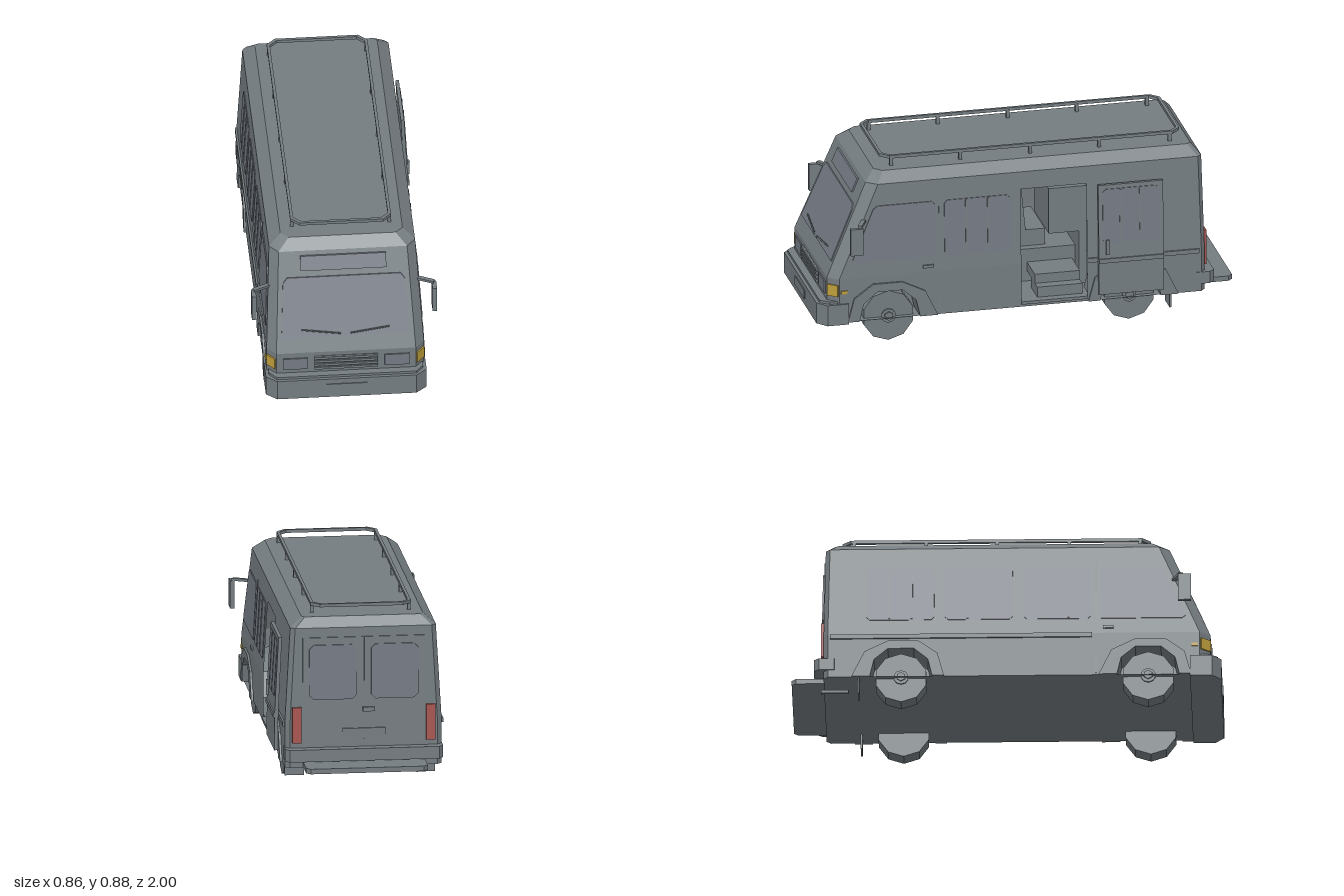
import * as THREE from 'three';

const paint = (name, color) => {
  const m = new THREE.MeshStandardMaterial({ color, side: THREE.DoubleSide });
  m.name = name;
  return m;
};

export function createModel() {
  const van = new THREE.Group();
  van.name = 'van';
  const body = paint('bodyGrey', 0x757d81);
  const glass = paint('windowGrey', 0x757a84);
  const amber = paint('amber', 0xc0a03c);
  const red = paint('red', 0xa85650);

  const add = (name, geo, mat = body) => {
    const mesh = new THREE.Mesh(geo, mat);
    mesh.name = name;
    van.add(mesh);
    return mesh;
  };
  // Box given by its limits
  const box = (name, x0, x1, y0, y1, z0, z1, mat) => {
    const m = add(name, new THREE.BoxGeometry(Math.abs(x1 - x0), y1 - y0, z1 - z0), mat);
    m.position.set((x0 + x1) / 2, (y0 + y1) / 2, (z0 + z1) / 2);
    return m;
  };
  const flat = (geo) => {
    const g = geo.index ? geo.toNonIndexed() : geo;
    g.computeVertexNormals();
    return g;
  };

  // Distance of each body face from the centre; faces lean in above the waist
  const lean = (y) => Math.max(0, y - 0.33) / 0.45;
  const sideX = (y) => 0.367 - 0.026 * lean(y);
  const frontZ = (y) => 0.95 - 0.19 * lean(y);
  const backZ = (y) => 0.85 - 0.01 * lean(y);
  const FACES = {
    front: { turn: 0, sign: 1, off: frontZ, axis: [0, 1] },
    back: { turn: Math.PI, sign: -1, off: backZ, axis: [0, -1] },
    left: { turn: Math.PI / 2, sign: -1, off: sideX, axis: [1, 0] },
    right: { turn: -Math.PI / 2, sign: 1, off: sideX, axis: [-1, 0] },
  };
  // Flat piece lying on a body face; points are (x or z, y)
  const plate = (name, face, pts, t, mat, start = 0) => {
    const f = FACES[face];
    const shape = new THREE.Shape(pts.map(([a, y]) => new THREE.Vector2(a * f.sign, y)));
    const geo = t ? new THREE.ExtrudeGeometry(shape, { depth: t, bevelEnabled: false })
      : new THREE.ShapeGeometry(shape);
    geo.translate(0, 0, start).rotateY(f.turn);
    const p = geo.attributes.position;
    for (let i = 0; i < p.count; i++) {
      const d = f.off(p.getY(i));
      p.setXYZ(i, p.getX(i) + f.axis[0] * d, p.getY(i), p.getZ(i) + f.axis[1] * d);
    }
    return add(name, flat(geo), mat);
  };
  const rect = (a0, a1, y0, y1, c = 0) => c
    ? [[a0 + c, y0], [a1 - c, y0], [a1, y0 + c], [a1, y1 - c], [a1 - c, y1], [a0 + c, y1], [a0, y1 - c], [a0, y0 + c]]
    : [[a0, y0], [a1, y0], [a1, y1], [a0, y1]];
  // Horizontal slab from a plan outline in (x, z)
  const slab = (name, pts, y0, y1, hole) => {
    const v = (l) => l.map(([x, z]) => new THREE.Vector2(x, -z));
    const s = new THREE.Shape(v(pts));
    if (hole) s.holes.push(new THREE.Path(v(hole)));
    const g = new THREE.ExtrudeGeometry(s, { depth: y1 - y0, bevelEnabled: false });
    return add(name, g.rotateX(-Math.PI / 2).translate(0, y0, 0));
  };

  // Body shell: four rings, side walls left open in the lower two bands
  const ring = (y, xs, xf, zf, cz, xb, zb) => [
    [xs, y, zf - cz], [xf, y, zf], [-xf, y, zf], [-xs, y, zf - cz],
    [-xs, y, zb + 0.02], [-xb, y, zb], [xb, y, zb], [xs, y, zb + 0.02]];
  const rings = [
    ring(0.115, 0.367, 0.325, 0.95, 0.05, 0.345, -0.85),
    ring(0.33, 0.367, 0.325, 0.95, 0.05, 0.345, -0.85),
    ring(0.78, 0.341, 0.30, 0.76, 0.05, 0.32, -0.84),
    ring(0.825, 0.285, 0.25, 0.71, 0.035, 0.27, -0.80)];
  const pos = [];
  const tri = (...c) => c.forEach((q) => pos.push(...q));
  for (let k = 0; k < 3; k++) for (let i = 0; i < 8; i++) {
    if (k < 2 && (i === 3 || i === 7)) continue;
    const j = (i + 1) % 8, a = rings[k], b = rings[k + 1];
    tri(a[i], b[i], b[j]);
    tri(a[i], b[j], a[j]);
  }
  for (let i = 1; i < 7; i++) {
    tri(rings[3][0], rings[3][i + 1], rings[3][i]);
    tri(rings[0][0], rings[0][i], rings[0][i + 1]);
  }
  const shell = new THREE.BufferGeometry();
  shell.setAttribute('position', new THREE.Float32BufferAttribute(pos, 3));
  add('bodyShell', flat(shell));

  // Side walls with wheel arches; the left one has the open doorway
  const archIn = [[-0.145, 0.115], [-0.125, 0.2], [-0.06, 0.255], [0.06, 0.255], [0.125, 0.2], [0.145, 0.115]];
  const archOut = [[0.2, 0.115], [0.17, 0.23], [0.08, 0.295], [-0.06, 0.295], [-0.17, 0.24], [-0.23, 0.115]];
  const axles = [-0.49, 0.66];
  const shift = (pts, z) => pts.map(([a, y]) => [a + z, y]);
  for (const side of ['left', 'right']) {
    const s = side === 'left' ? 1 : -1;
    const open = s > 0;
    plate('lowerSide', side, [[0.9, 0.115], [0.9, 0.33],
      ...(open ? [[0.03, 0.33], [0.03, 0.14], [-0.285, 0.14], [-0.285, 0.33]] : []),
      [-0.83, 0.33], [-0.83, 0.115], ...axles.flatMap((z) => shift(archIn, z))], 0);
    plate('upperSide', side, [[0.9, 0.33], [0.71, 0.78], [-0.82, 0.78], [-0.83, 0.33],
      ...(open ? [[-0.285, 0.33], [-0.285, 0.695], [0.03, 0.695], [0.03, 0.33]] : [])], 0);

    // Wheels, hubs, arches and inner wells
    for (const z of axles) {
      plate('wheelArch', side, shift([...archIn, ...archOut], z), 0.13, body, -0.12);
      box('wheelWell', s * 0.235, s * 0.25, 0.116, 0.27, z - 0.15, z + 0.15);
      for (const [name, r, w, x, n] of [['wheel', 0.123, 0.083, 0.3, 10], ['hubRim', 0.035, 0.012, 0.343, 10], ['hubNut', 0.022, 0.02, 0.347, 6]]) {
        const g = flat(new THREE.CylinderGeometry(r, r, w, n).rotateY(Math.PI / 2).rotateZ(Math.PI / 2));
        add(name, g).position.set(s * x, 0.12, z);
      }
    }
    box('mudflap', s * 0.26, s * 0.352, 0.04, 0.115, -0.69, -0.682);

    // Cab door, windows and trim
    plate('cabWindow', side, [[0.44, 0.405], [0.82, 0.405], [0.835, 0.42], [0.735, 0.66], [0.715, 0.675], [0.455, 0.675], [0.44, 0.66]], 0.005, glass);
    plate('cabDoorSeam', side, rect(0.416, 0.421, 0.125, 0.7), 0.003);
    plate('cabDoorHandle', side, rect(0.45, 0.5, 0.352, 0.366), 0.009);
    for (const z of open ? [0.08] : [0.08, -0.285, -0.65]) {
      plate('sideWindow', side, rect(z, z + 0.315, 0.405, 0.675, 0.015), 0.004, glass);
      for (const m of [0.1, 0.205]) plate('windowBar', side, rect(z + m, z + m + 0.01, 0.41, 0.67), 0.008);
    }
    plate('waistRail', side, rect(-0.82, open ? -0.285 : 0.4, 0.308, 0.329), 0.009);
    plate('sideRepeater', side, rect(0.862, 0.892, 0.257, 0.272), 0.006, amber);

    // Corner indicator and headlamp
    const lamp = add('cornerIndicator', new THREE.BoxGeometry(0.055, 0.056, 0.012), amber);
    lamp.position.set(s * 0.347, 0.272, 0.926);
    lamp.rotation.y = s * 0.87;
    plate('headlamp', 'front', rect(s > 0 ? 0.18 : -0.295, s > 0 ? 0.295 : -0.18, 0.24, 0.301), 0.006, glass);

    // Door mirror on its arm
    const arm = box('mirrorArm', s * 0.335, s * 0.425, 0.6, 0.612, 0.785, 0.805);
    arm.rotation.y = -s * 0.45;
    box('mirror', s * 0.411, s * 0.432, 0.468, 0.6, 0.8, 0.86);

    // Wiper
    const a = new THREE.Vector3(s * 0.022, 0.416, frontZ(0.416) + 0.013);
    const b = new THREE.Vector3(s * 0.205, 0.438, frontZ(0.438) + 0.013);
    add('wiper', new THREE.TubeGeometry(new THREE.LineCurve3(a, b), 1, 0.004, 5));

    // Rear door with window, tail lamp
    const mir = (pts) => pts.map(([x, y]) => [x * s, y]);
    plate('rearDoor', 'back', mir(rect(0.003, 0.285, 0.225, 0.735)), 0.006);
    plate('rearWindow', 'back', mir(rect(0.035, 0.255, 0.44, 0.7, 0.02)), 0.012, glass);
    box('tailLamp', s * 0.292, s * 0.335, 0.235, 0.405, -0.862, -0.84, red);

    // Roof rail posts
    for (const z of [0.62, 0.29, -0.045, -0.375, -0.71]) box('railPost', s * 0.22, s * 0.235, 0.82, 0.865, z - 0.008, z + 0.008);
  }

  // Front face
  plate('windscreen', 'front', [[-0.3, 0.4], [0.3, 0.4], [0.297, 0.43], [0.285, 0.64], [0.265, 0.665], [-0.265, 0.665], [-0.285, 0.64], [-0.297, 0.43]], 0.005, glass);
  plate('headerPanel', 'front', rect(-0.2, 0.2, 0.695, 0.76), 0.008, glass);
  plate('grille', 'front', rect(-0.148, 0.148, 0.234, 0.308), 0.004);
  for (let i = 0; i < 4; i++) plate('grilleBar', 'front', rect(-0.148, 0.148, 0.238 + i * 0.019, 0.25 + i * 0.019), 0.012);

  // Bumpers, plates and rear step
  const bumper = (i) => [[-0.375 + i, 0.855], [0.375 - i, 0.855], [0.375 - i, 0.957 - i], [0.325, 1 - i], [-0.325, 1 - i], [-0.375 + i, 0.957 - i]];
  slab('frontBumper', bumper(0), 0.105, 0.207);
  slab('frontBumperTop', bumper(0.015), 0.207, 0.219);
  box('frontPlate', -0.095, 0.095, 0.136, 0.18, 0.995, 1.004);
  slab('rearBumper', [[0.37, -0.8], [0.37, -0.87], [0.35, -0.895], [-0.35, -0.895], [-0.37, -0.87], [-0.37, -0.8]], 0.152, 0.21);
  slab('rearStep', [[0.285, -0.82], [0.285, -0.98], [0.265, -1], [-0.265, -1], [-0.285, -0.98], [-0.285, -0.82]], 0.12, 0.144);
  plate('rearPlate', 'back', rect(-0.1, 0.1, 0.25, 0.3), 0.012);
  plate('rearHandle', 'back', rect(-0.05, 0.005, 0.38, 0.4), 0.016);
  add('exhaustPipe', new THREE.CylinderGeometry(0.01, 0.01, 0.13, 8).rotateX(Math.PI / 2)).position.set(-0.25, 0.092, -0.8);

  // Roof rail loop
  const loop = (i) => rect(-0.235 + i, 0.235 - i, -0.765 + i, 0.67 - i, 0.04 - i * 0.4);
  slab('roofRail', loop(0), 0.86, 0.875, loop(0.014));

  // Sliding door, slid back along the left side
  const doorShape = new THREE.Shape([[0.378, 0.15], [0.395, 0.15], [0.393, 0.33], [0.375, 0.69], [0.359, 0.69], [0.376, 0.33]].map((q) => new THREE.Vector2(...q)));
  const doorGeo = new THREE.ExtrudeGeometry(doorShape, { depth: 0.31, bevelEnabled: false });
  add('slidingDoor', doorGeo.translate(0, 0, -0.645));
  plate('slidingDoorWindow', 'left', rect(-0.625, -0.355, 0.405, 0.67, 0.015), 0.006, glass, 0.026);
  for (const z of [-0.54, -0.445]) plate('slidingWindowBar', 'left', rect(z, z + 0.01, 0.41, 0.665), 0.008, body, 0.026);
  box('slidingDoorHandle', 0.385, 0.402, 0.35, 0.423, -0.382, -0.368);
  box('slidingDoorTrim', 0.385, 0.4, 0.308, 0.329, -0.645, -0.335);

  // Doorway and cabin
  box('doorSill', 0.34, 0.375, 0.128, 0.142, -0.285, 0.03);
  box('cabinFloor', -0.36, 0.36, 0.125, 0.14, -0.32, 0.4);
  box('entryStep', 0.2, 0.33, 0.14, 0.19, -0.27, -0.055);
  box('entryStepTop', 0.12, 0.28, 0.19, 0.235, -0.27, -0.055);
  box('seatBase', -0.3, 0.12, 0.14, 0.3, -0.3, 0.03);
  box('seatCushion', -0.2, 0.08, 0.3, 0.38, -0.15, -0.03);
  box('seatBack', -0.2, 0.08, 0.36, 0.66, -0.045, -0.015).rotation.x = 0.1;
  box('cabinet', -0.1, 0.2, 0.4, 0.625, -0.32, -0.14);
  box('counter', -0.1, 0.2, 0.14, 0.4, -0.32, -0.285);

  return van;
}
